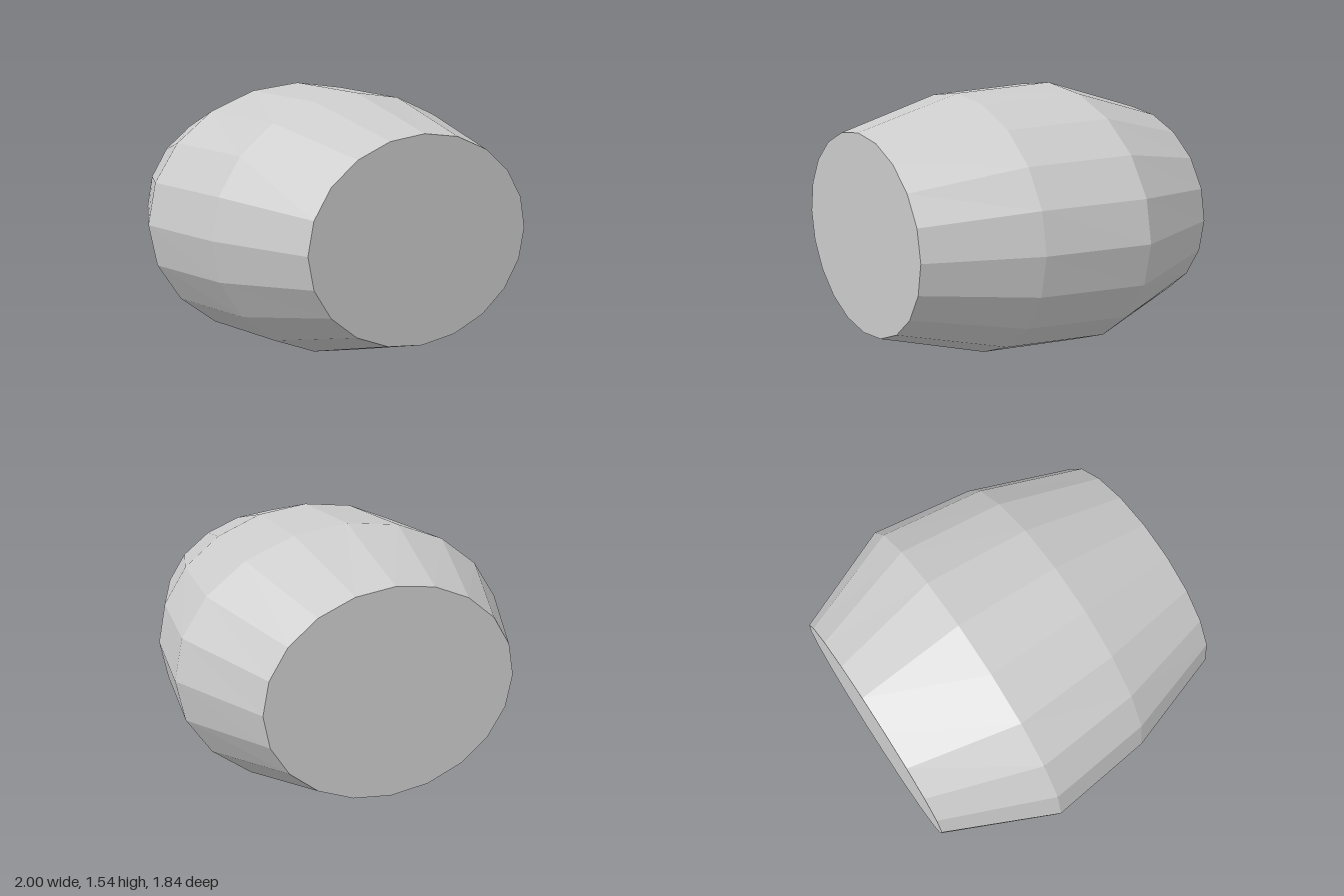
import * as THREE from 'three';

// Elliptical rings from back to front: [z, half width, half height]
const RINGS = [
  [-0.92, 0.72, 0.59],
  [-0.307, 1.0, 0.77],
  [0.307, 0.925, 0.742],
  [0.92, 0.72, 0.565],
];
const SIDES = 20;
const CENTRE_Y = 0.77;

export function createModel() {
  const group = new THREE.Group();
  group.name = 'barrel';

  // Unit drum lying along z, then each ring is scaled to its ellipse
  const geometry = new THREE.CylinderGeometry(1, 1, 3, SIDES, RINGS.length - 1);
  geometry.rotateX(Math.PI / 2);
  const pos = geometry.attributes.position;
  for (let i = 0; i < pos.count; i++) {
    const [z, rx, ry] = RINGS[Math.round(pos.getZ(i) + 1.5)];
    pos.setXYZ(i, pos.getX(i) * rx, pos.getY(i) * ry + CENTRE_Y, z);
  }
  geometry.computeVertexNormals();

  const material = new THREE.MeshStandardMaterial({ color: 0xcccccc, flatShading: true });
  const body = new THREE.Mesh(geometry, material);
  body.name = 'barrelBody';
  group.add(body);
  return group;
}
